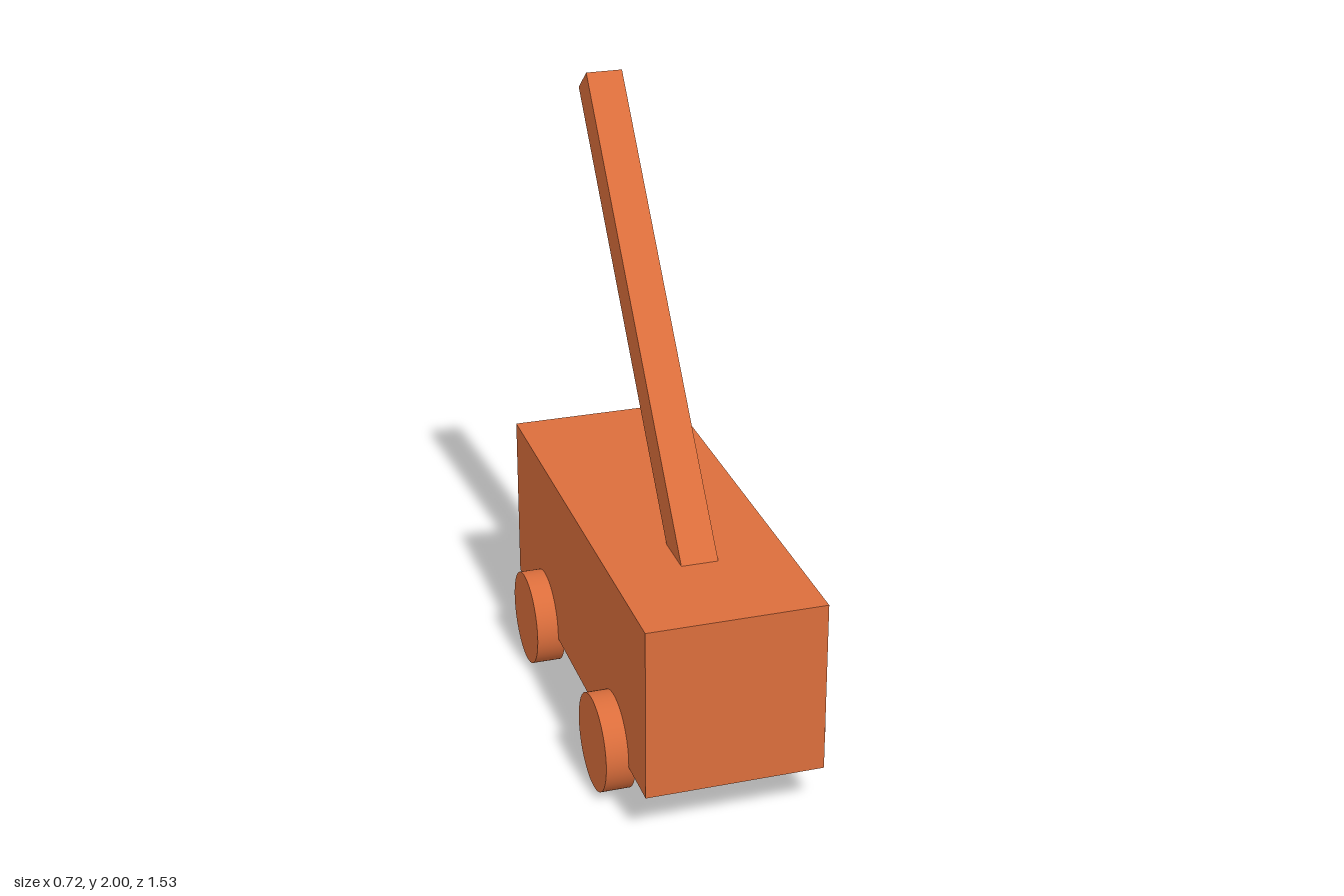
import * as THREE from 'three';

export function createModel() {
  const model = new THREE.Group();
  model.name = 'craneCart';
  const material = new THREE.MeshStandardMaterial({ color: 0xdb6e3c });

  const add = (name, geometry, x, y, z) => {
    const mesh = new THREE.Mesh(geometry, material);
    mesh.name = name;
    mesh.position.set(x, y, z);
    model.add(mesh);
    return mesh;
  };

  // Box body
  add('body', new THREE.BoxGeometry(0.576, 0.573, 1.534), 0, 0.4335, 0);

  // Square boom leaning back, its foot sunk into the body
  const tilt = Math.atan2(1.023, 1.28);
  const length = 1.8;
  const boom = new THREE.BoxGeometry(0.12, length, 0.12);
  boom.translate(0, -length / 2, 0); // origin at the tip
  add('boom', boom, 0, 1.9625, -0.668).rotation.x = -tilt;

  // Four wheels, partly set into the body sides
  const radius = 0.158;
  const wheel = new THREE.CylinderGeometry(radius, radius, 0.095, 64);
  wheel.rotateZ(Math.PI / 2);
  for (const [end, z] of [['front', 0.43], ['rear', -0.404]]) {
    for (const [side, sign] of [['Left', 1], ['Right', -1]]) {
      add(`${end}${side}Wheel`, wheel, sign * 0.3125, radius, z);
    }
  }

  return model;
}
